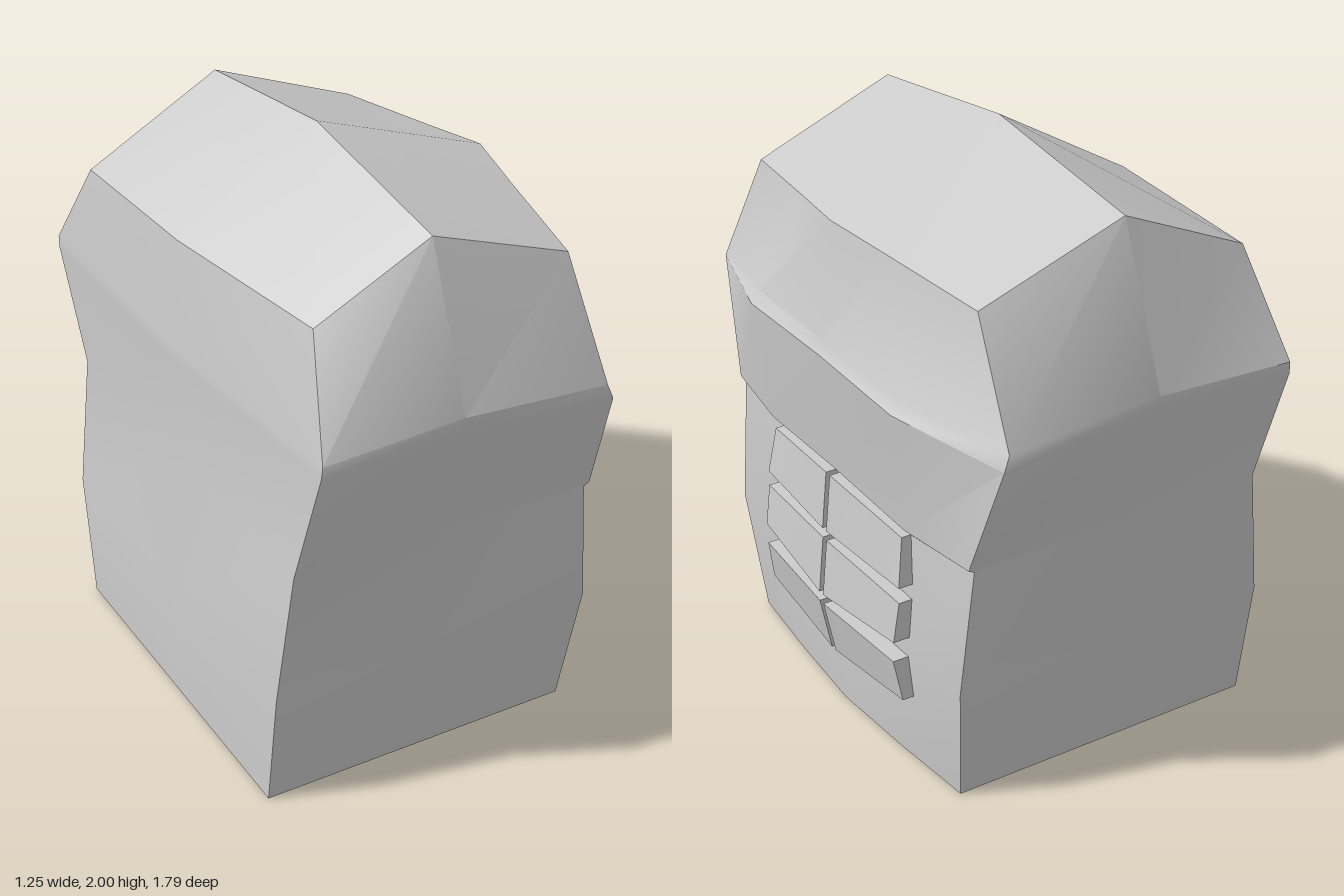
import * as THREE from 'three';
import { toCreasedNormals } from 'three/addons/utils/BufferGeometryUtils.js';

const MID_X = -0.07; // column down the middle of the two side walls

// Cross-sections from the base up.
// spine: x at z+, centre, z-; chest: x at corner, half way, centre
// y: spine, side middle, chest corner, chest half, chest centre
// z: spine corner, side middle, chest corner, chest half
const LEVELS = [
  { y: [0, 0, 0, 0, 0], spine: [-0.625, -0.625, -0.625], chest: [0.49, 0.52, 0.54], z: [0.66, 0.66, 0.66, 0.33] },
  { y: [0.44, 0.44, 0.44, 0.44, 0.44], spine: [-0.625, -0.625, -0.625], chest: [0.53, 0.54, 0.55], z: [0.725, 0.725, 0.725, 0.42] },
  { y: [0.9, 0.9, 0.89, 0.86, 0.9], spine: [-0.57, -0.57, -0.57], chest: [0.49, 0.515, 0.53], z: [0.745, 0.745, 0.745, 0.43] },
  { y: [0.9, 0.9, 0.9, 0.895, 0.915], spine: [-0.57, -0.57, -0.57], chest: [0.51, 0.55, 0.56], z: [0.745, 0.745, 0.745, 0.43] },
  { y: [1.31, 1.35, 1.30, 1.325, 1.335], spine: [-0.535, -0.6, -0.6], chest: [0.475, 0.6, 0.6], z: [0.855, 0.89, 0.885, 0.45] },
  { y: [1.35, 1.4, 1.35, 1.365, 1.375], spine: [-0.53, -0.6, -0.6], chest: [0.455, 0.57, 0.58], z: [0.855, 0.895, 0.88, 0.45] },
  { y: [1.68, 1.91, 1.72, 1.757, 1.78], spine: [-0.44, -0.56, -0.56], chest: [0.43, 0.497, 0.54], z: [0.64, 0.69, 0.67, 0.25] },
];

// Closed ring of ten points, counter-clockwise seen from above
function ring({ y, spine, chest, z }) {
  return [
    [spine[0], y[0], z[0]], [MID_X, y[1], z[1]],
    [chest[0], y[2], z[2]], [chest[1], y[3], z[3]], [chest[2], y[4], 0],
    [chest[1], y[3], -z[3]], [chest[0], y[2], -z[2]],
    [MID_X, y[1], -z[1]], [spine[2], y[0], -z[0]], [spine[1], y[0] + (y[0] > 1.5 ? 0.03 : 0), 0],
  ].map((p) => new THREE.Vector3(...p));
}

// Collects triangles, leaving out empty ones
function triangleGeometry(triangles, crease) {
  const pos = [];
  for (const [a, b, c] of triangles) {
    if (new THREE.Triangle(a, b, c).getArea() < 1e-7) continue;
    for (const p of [a, b, c]) pos.push(p.x, p.y, p.z);
  }
  const g = new THREE.BufferGeometry();
  g.setAttribute('position', new THREE.Float32BufferAttribute(pos, 3));
  return toCreasedNormals(g, crease);
}

// Skins a stack of rings and closes both ends with fans
function loft(rings, bottom, top, crease) {
  const tris = [];
  const n = rings[0].length;
  for (let i = 0; i < n; i++) {
    const j = (i + 1) % n;
    for (let k = 0; k < rings.length - 1; k++) {
      const [lo, hi] = [rings[k], rings[k + 1]];
      tris.push([lo[i], lo[j], hi[j]], [lo[i], hi[j], hi[i]]);
    }
    const last = rings[rings.length - 1];
    tris.push([rings[0][j], rings[0][i], bottom], [last[i], last[j], top]);
  }
  return triangleGeometry(tris, crease);
}

// Abdomen plates: [z, y, outer x] for outer top, outer bottom, inner bottom, inner top
const PLATES = [
  [[0.415, 0.86, 0.55], [0.435, 0.69, 0.575], [0.012, 0.69, 0.6], [0.012, 0.895, 0.58]],
  [[0.435, 0.635, 0.575], [0.43, 0.49, 0.595], [0.012, 0.45, 0.62], [0.012, 0.655, 0.6]],
  [[0.425, 0.415, 0.595], [0.44, 0.265, 0.57], [0.012, 0.215, 0.58], [0.012, 0.415, 0.62]],
];

// Plate raised from inside the body out to its face
function plateGeometry(corners, side) {
  let outer = corners.map(([z, y, x]) => new THREE.Vector3(x, y, z * side));
  if (side < 0) outer = outer.reverse();
  const inner = outer.map((p) => new THREE.Vector3(0.48, p.y, p.z));
  const centre = (pts) => pts.reduce((s, p) => s.add(p), new THREE.Vector3()).divideScalar(4);
  return loft([inner, outer], centre(inner), centre(outer), 0.4);
}

export function createModel() {
  const model = new THREE.Group();
  model.name = 'torso';
  const material = new THREE.MeshStandardMaterial({ color: 0xcccccc });
  const add = (name, geometry) => {
    const mesh = new THREE.Mesh(geometry, material);
    mesh.name = name;
    model.add(mesh);
  };

  // Body with overhanging chest and ridged shoulders
  add('body', loft(LEVELS.map(ring), new THREE.Vector3(MID_X, 0, 0), new THREE.Vector3(MID_X, 2, 0), 0.5));

  // Three rows of mirrored abdomen plates
  PLATES.forEach((corners, row) => {
    for (const side of [1, -1]) {
      add(`abdomenPlate${row + 1}${side > 0 ? 'Front' : 'Back'}`, plateGeometry(corners, side));
    }
  });
  return model;
}
